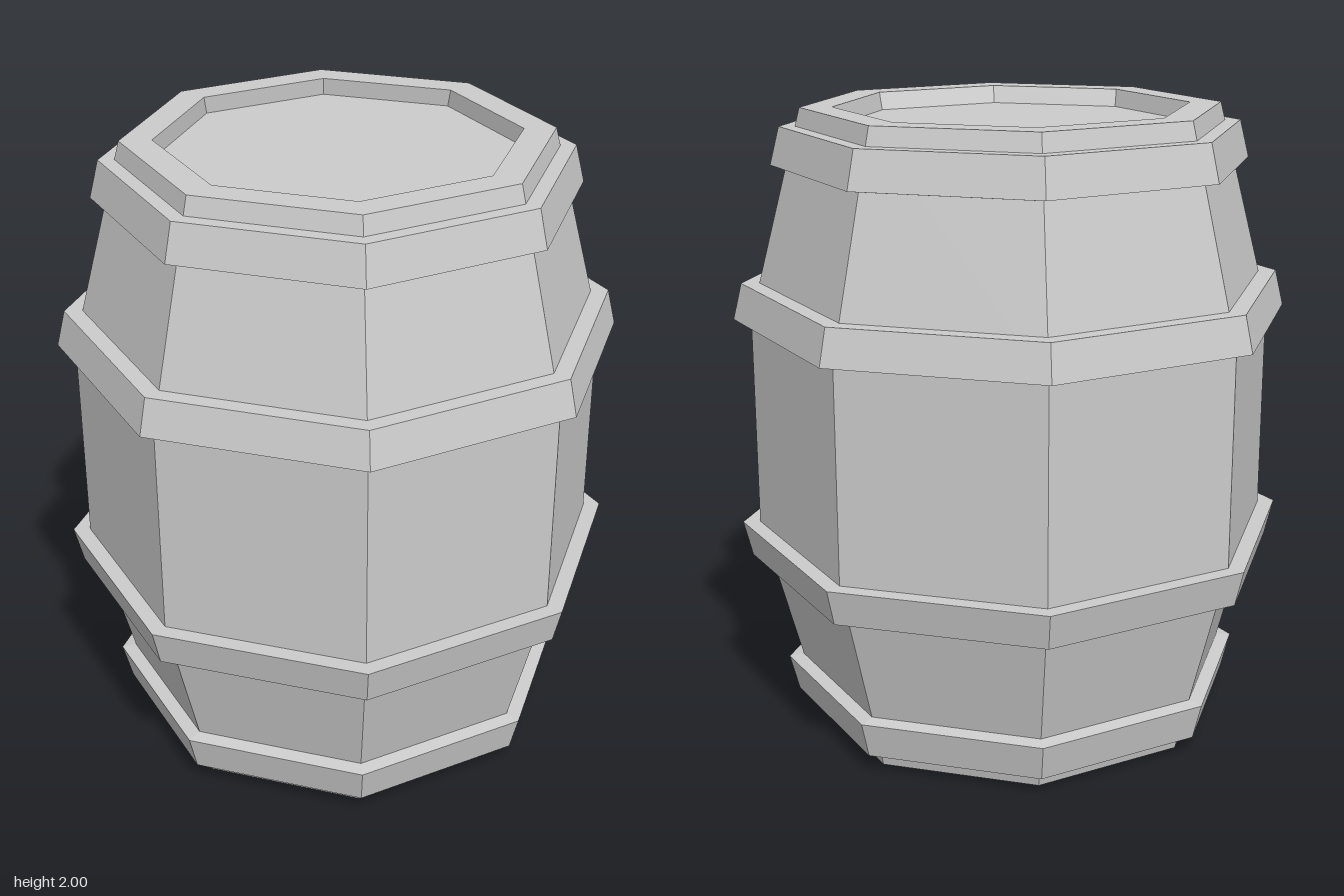
import * as THREE from 'three';

const SIDES = 8;
const material = new THREE.MeshStandardMaterial({ color: 0xcccccc, flatShading: true });

// Revolve [radius, height] points, listed from the bottom up, into an octagonal ring
function revolve(name, points) {
  const geometry = new THREE.LatheGeometry(points.map(([r, y]) => new THREE.Vector2(r, y)), SIDES);
  const mesh = new THREE.Mesh(geometry, material);
  mesh.name = name;
  return mesh;
}

// Upside-down copy of a profile, kept in bottom-to-top order
const flip = (points) => points.map(([r, y]) => [r, 2 - y]).reverse();

export function createModel() {
  const barrel = new THREE.Group();
  barrel.name = 'barrel';

  // Staves and both recessed lids as one closed profile
  const upperHalf = [[0.833, 1.34], [0.66, 2], [0.56, 2], [0.55, 1.945], [0, 1.945]];
  const body = revolve('body', [...flip(upperHalf), ...upperHalf]);

  // The lids sit slightly towards the back inside their rims
  const pos = body.geometry.attributes.position;
  for (let i = 0; i < pos.count; i++) {
    if (Math.hypot(pos.getX(i), pos.getZ(i)) < 0.555) pos.setZ(i, pos.getZ(i) - 0.015);
  }
  barrel.add(body);

  // Tapered hoops, mirrored top and bottom
  const hoops = {
    MiddleHoop: [[0.82, 1.34], [0.888, 1.34], [0.86, 1.455], [0.79, 1.455]],
    EndHoop: [[0.695, 1.815], [0.755, 1.825], [0.725, 1.943], [0.66, 1.943]],
  };
  for (const [name, profile] of Object.entries(hoops)) {
    barrel.add(revolve('upper' + name, profile), revolve('lower' + name, flip(profile)));
  }
  return barrel;
}
